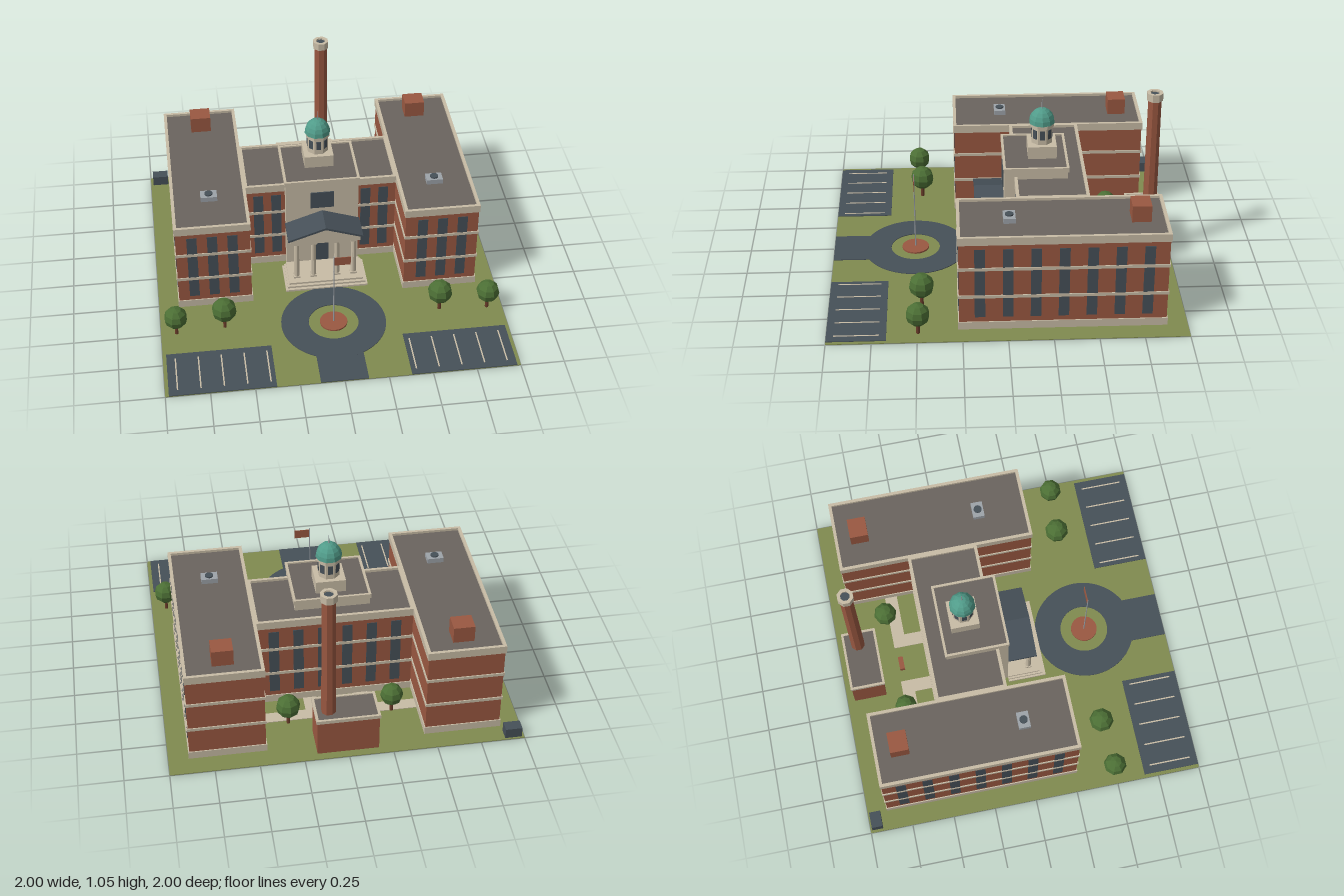
import * as THREE from 'three';

const mat = (name, color, extra = {}) => {
  const m = new THREE.MeshStandardMaterial({ color, ...extra });
  m.name = name;
  return m;
};

export function createModel() {
  const root = new THREE.Group();
  root.name = 'campusBuilding';
  const brick = mat('brick', 0x9a5841), stone = mat('stone', 0xc8bca6), slate = mat('slate', 0x465058);
  const roofGrey = mat('roofGrey', 0x6a645e), grass = mat('grass', 0x808b4f);
  const leaf = mat('leaf', 0x4c6f35), copper = mat('copper', 0x519c8a), metal = mat('metal', 0x9da3a9);
  const bark = mat('bark', 0x6b3d2a);
  for (const m of [leaf, copper, brick, stone, slate]) m.flatShading = true;

  const add = (name, geo, m, x = 0, y = 0, z = 0, parent = root) => {
    const mesh = new THREE.Mesh(geo, m);
    mesh.name = name;
    mesh.position.set(x, y, z);
    parent.add(mesh);
    return mesh;
  };
  // Box given by its limits on each axis
  const box = (name, m, x0, x1, y0, y1, z0, z1, parent) =>
    add(name, new THREE.BoxGeometry(x1 - x0, y1 - y0, z1 - z0), m,
      (x0 + x1) / 2, (y0 + y1) / 2, (z0 + z1) / 2, parent);
  const cyl = (name, m, r0, r1, y0, y1, x, z, n = 8, parent = root) =>
    add(name, new THREE.CylinderGeometry(r1, r0, y1 - y0, n), m, x, (y0 + y1) / 2, z, parent);
  // Hollow rectangular rim
  const rim = (name, x0, x1, y0, y1, z0, z1, t, parent) => {
    box(name, stone, x0, x1, y0, y1, z0, z0 + t, parent);
    box(name, stone, x0, x1, y0, y1, z1 - t, z1, parent);
    box(name, stone, x0, x0 + t, y0, y1, z0 + t, z1 - t, parent);
    box(name, stone, x1 - t, x1, y0, y1, z0 + t, z1 - t, parent);
  };
  // Flat ring or disc lying on the ground
  const ring = (name, m, rIn, rOut, y, h, x, z, n = 48) => {
    const s = new THREE.Shape().absarc(0, 0, rOut, 0, Math.PI * 2);
    s.holes.push(new THREE.Path().absarc(0, 0, rIn, 0, Math.PI * 2, true));
    const g = new THREE.ExtrudeGeometry(s, { depth: h, bevelEnabled: false, curveSegments: n });
    g.rotateX(-Math.PI / 2);
    return add(name, g, m, x, y, z);
  };

  // Grounds
  box('lawn', grass, -1, 1, 0, 0.004, -1, 1);
  ring('driveCircle', slate, 0.145, 0.305, 0.004, 0.004, 0, 0.515);
  box('driveway', slate, -0.135, 0.135, 0.004, 0.0078, 0.78, 1);
  cyl('flowerBed', brick, 0.08, 0.08, 0.004, 0.014, 0, 0.515, 20);
  cyl('flagpole', metal, 0.004, 0.003, 0.014, 0.5, 0, 0.515, 6);
  box('flag', brick, 0.003, 0.095, 0.435, 0.49, 0.5135, 0.5165);
  for (const s of [-1, 1]) {
    const span = (name, m, a, b, y0, y1, z0, z1) =>
      box(name, m, Math.min(s * a, s * b), Math.max(s * a, s * b), y0, y1, z0, z1);
    span('parkingLot', slate, 0.38, 0.98, 0.004, 0.008, 0.67, 1);
    for (let i = 0; i < 5; i++) span('parkingLine', stone, 0.406 + i * 0.13, 0.414 + i * 0.13, 0.008, 0.0095, 0.71, 0.96);
    span('rearPath', stone, 0.11, 0.45, 0.004, 0.008, -0.66, -0.585);
    span('rearPathLink', stone, 0.11, 0.188, 0.004, 0.008, -0.585, -0.475);
  }
  box('bench', brick, -0.04, 0.04, 0.004, 0.035, -0.65, -0.62);
  box('utilityBox', slate, -0.985, -0.89, 0.004, 0.066, -0.99, -0.925);

  // Trees
  for (const [x, z, r] of [[-0.91, 0.495, 0.068], [-0.63, 0.475, 0.073], [0.63, 0.475, 0.073],
    [0.91, 0.495, 0.068], [-0.3, -0.655, 0.066], [0.3, -0.675, 0.07]]) {
    const tree = new THREE.Group();
    tree.name = 'tree';
    tree.position.set(x, 0, z);
    root.add(tree);
    cyl('trunk', bark, 0.011, 0.009, 0.004, 0.09, 0, 0, 6, tree);
    add('crown', new THREE.SphereGeometry(r, 8, 6), leaf, 0, r * 1.85, 0, tree).rotation.y = x * 3;
  }

  // Brick block with stone base, storey bands, parapet and flat roof
  const block = (name, x0, x1, z0, z1) => {
    const g = new THREE.Group();
    g.name = name;
    root.add(g);
    const e = 0.006;
    box('walls', brick, x0, x1, 0.004, 0.565, z0, z1, g);
    box('plinth', stone, x0 - e, x1 + e, 0.004, 0.05, z0 - e, z1 + e, g);
    for (const y of [0.213, 0.388]) box('band', stone, x0 - e, x1 + e, y - 0.009, y + 0.009, z0 - e, z1 + e, g);
    rim('parapet', x0 - e, x1 + e, 0.54, 0.587, z0 - e, z1 + e, 0.018, g);
    box('roof', roofGrey, x0 + 0.01, x1 - 0.01, 0.56, 0.572, z0 + 0.01, z1 - 0.01, g);
    return g;
  };
  const winFB = (g, x, z) => box('window', slate, x - 0.029, x + 0.029, 0.08, 0.512, z - 0.003, z + 0.003, g);

  // Side wings
  for (const s of [-1, 1]) {
    const g = block(s > 0 ? 'leftWing' : 'rightWing', s > 0 ? 0.452 : -0.88, s > 0 ? 0.88 : -0.452, -0.88, 0.268);
    for (let i = 0; i < 3; i++) winFB(g, s * (0.553 + i * 0.117), 0.268);
    for (let i = 0; i < 7; i++) {
      const z = 0.153 - i * 0.154;
      box('window', slate, s * 0.88 - 0.003, s * 0.88 + 0.003, 0.08, 0.512, z - 0.029, z + 0.029, g);
    }
    box('roofHouse', brick, s * 0.665 - 0.06, s * 0.665 + 0.06, 0.572, 0.67, -0.792, -0.685, g);
    box('ventUnit', metal, s * 0.665 - 0.048, s * 0.665 + 0.048, 0.572, 0.602, -0.05, 0.018, g);
    cyl('ventFan', slate, 0.024, 0.024, 0.602, 0.61, s * 0.665, -0.016, 10, g);
  }

  // Central range
  const centre = block('centralRange', -0.446, 0.446, -0.475, -0.072);
  for (const s of [-1, 1]) {
    for (const x of [0.267, 0.373]) winFB(centre, s * x, -0.072);
    for (const x of [0.07, 0.21, 0.35]) winFB(centre, s * x, -0.475);
  }

  // Stone pavilion
  box('pavilion', stone, -0.215, 0.215, 0.004, 0.625, -0.375, -0.01);
  rim('pavilionParapet', -0.222, 0.222, 0.615, 0.643, -0.382, -0.004, 0.014);
  box('pavilionRoof', roofGrey, -0.21, 0.21, 0.622, 0.634, -0.37, -0.016);
  box('upperWindow', slate, -0.07, 0.07, 0.445, 0.557, -0.012, -0.004);
  box('door', slate, -0.038, 0.038, 0.045, 0.185, -0.012, -0.004);
  box('doorWindow', slate, -0.038, 0.038, 0.2, 0.295, -0.012, -0.004);

  // Portico: steps, columns, pediment and gable roof
  [0.22, 0.203, 0.186].forEach((z, i) =>
    box('step', stone, -0.245 + i * 0.012, 0.245 - i * 0.012, 0.004, 0.016 + i * 0.012, -0.01, z));
  for (const s of [-1, 1]) for (const x of [0.07, 0.17]) {
    cyl('column', stone, 0.017, 0.014, 0.04, 0.302, s * x, 0.125, 10);
    box('columnBase', stone, s * x - 0.02, s * x + 0.02, 0.04, 0.052, 0.105, 0.145);
    box('columnCapital', stone, s * x - 0.02, s * x + 0.02, 0.29, 0.302, 0.105, 0.145);
  }
  box('entablature', stone, -0.208, 0.208, 0.302, 0.337, -0.01, 0.15);
  const prism = (name, m, pts, z0, z1) => add(name, new THREE.ExtrudeGeometry(
    new THREE.Shape(pts.map(p => new THREE.Vector2(...p))), { depth: z1 - z0, bevelEnabled: false }), m, 0, 0, z0);
  prism('pediment', stone, [[-0.205, 0.336], [0.205, 0.336], [0, 0.41]], -0.01, 0.15);
  prism('porticoRoof', slate, [[-0.222, 0.33], [0, 0.406], [0.222, 0.33], [0.222, 0.343], [0, 0.42], [-0.222, 0.343]], -0.01, 0.162);

  // Cupola
  const cupola = new THREE.Group();
  cupola.name = 'cupola';
  cupola.position.z = -0.235;
  root.add(cupola);
  box('pedestal', stone, -0.086, 0.086, 0.63, 0.71, -0.083, 0.083, cupola);
  const drum = cyl('drum', stone, 0.064, 0.064, 0.71, 0.825, 0, 0, 8, cupola);
  drum.rotation.y = Math.PI / 8;
  for (let i = 0; i < 8; i++) {
    const w = add('cupolaWindow', new THREE.BoxGeometry(0.028, 0.056, 0.006), slate, 0, 0, 0, cupola);
    const a = i * Math.PI / 4;
    w.position.set(Math.sin(a) * 0.059, 0.77, Math.cos(a) * 0.059);
    w.rotation.y = a;
  }
  cyl('cornice', stone, 0.074, 0.074, 0.815, 0.832, 0, 0, 8, cupola).rotation.y = Math.PI / 8;
  const dome = add('dome', new THREE.SphereGeometry(0.076, 10, 5, 0, Math.PI * 2, 0, Math.PI / 2), copper, 0, 0.832, 0, cupola);
  dome.scale.y = 1.15;
  cyl('spire', metal, 0.004, 0.002, 0.91, 0.972, 0, 0, 6, cupola);

  // Boiler house and chimney
  box('boilerHouse', brick, -0.174, 0.174, 0.004, 0.236, -0.955, -0.76);
  rim('boilerParapet', -0.18, 0.18, 0.225, 0.246, -0.961, -0.754, 0.014);
  box('boilerRoof', roofGrey, -0.168, 0.168, 0.23, 0.24, -0.95, -0.765);
  cyl('chimney', brick, 0.042, 0.039, 0.236, 1.01, 0.1, -0.87, 8).rotation.y = Math.PI / 8;
  const cap = ring('chimneyCap', stone, 0.028, 0.048, 1.01, 0.045, 0.1, -0.87, 4);
  cap.rotation.y = Math.PI / 8;
  cyl('flue', slate, 0.029, 0.029, 1.01, 1.045, 0.1, -0.87, 8);

  return root;
}
